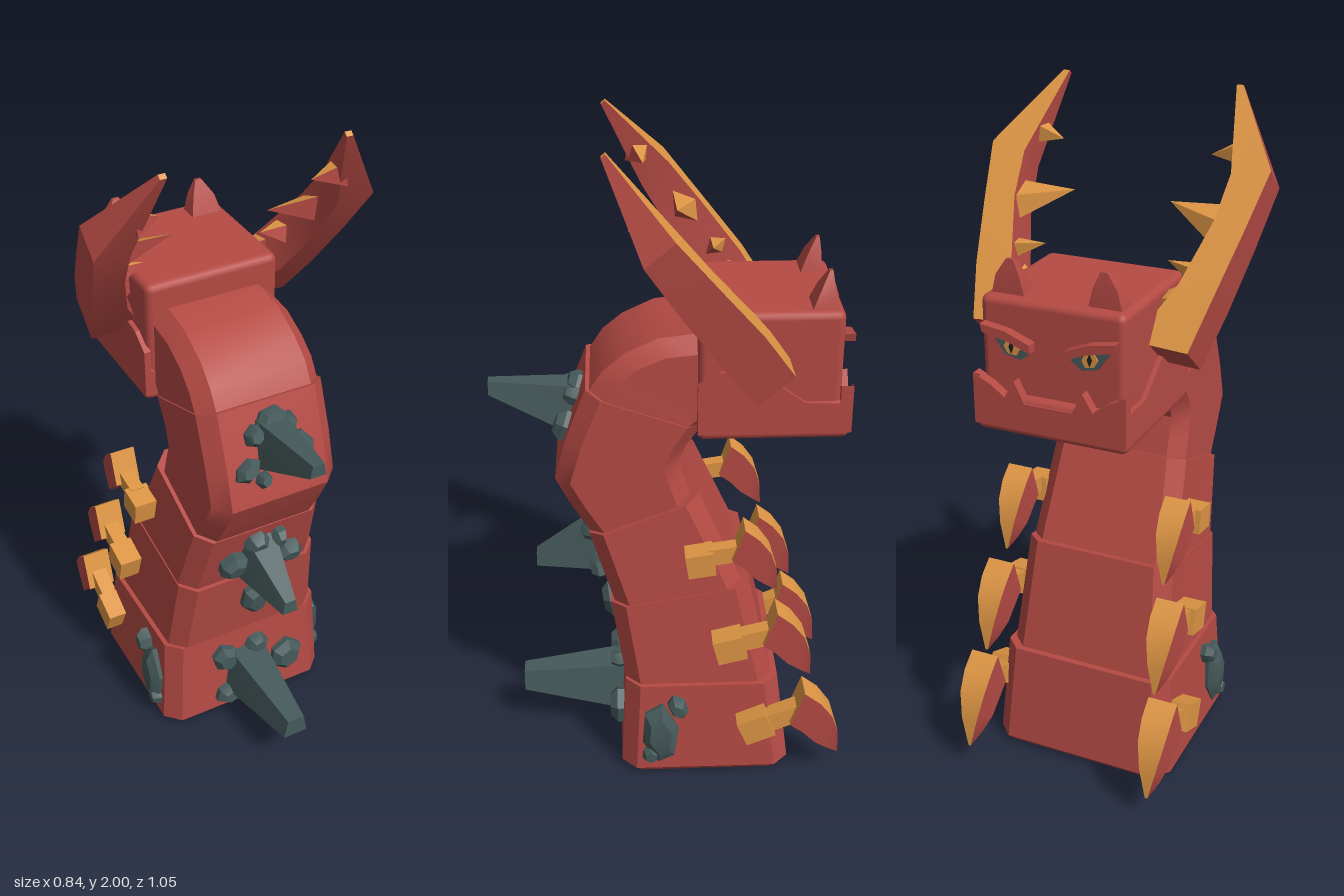
import * as THREE from 'three';
import { toCreasedNormals } from 'three/addons/utils/BufferGeometryUtils.js';
import { RoundedBoxGeometry } from 'three/addons/geometries/RoundedBoxGeometry.js';

const material = (name, color) => {
  const m = new THREE.MeshStandardMaterial({ color });
  m.name = name;
  return m;
};

export function createModel() {
  const red = material('red hide', 0xb54a44);
  const orange = material('orange horn', 0xdd9544);
  const slate = material('slate stone', 0x465a5b);
  const black = material('black pupil', 0x1c2020);
  const model = new THREE.Group();
  model.name = 'hornedSerpent';

  const add = (name, geometry, mat, parent = model) => {
    const mesh = new THREE.Mesh(geometry, mat);
    mesh.name = name;
    parent.add(mesh);
    return mesh;
  };

  // Closed solid through rings of [x, y, z]; sideMats colours each side, then both caps
  function loft(name, rings, mat, parent, sideMats) {
    const n = rings[0].length;
    const tris = [];
    const mats = sideMats ? [...new Set(sideMats)] : [mat];
    const put = (m, a, b, c) => tris.push({ m: mats.indexOf(m), p: [a, b, c] });
    for (let i = 0; i < n; i++) {
      const j = (i + 1) % n;
      const m = sideMats ? sideMats[i] : mat;
      for (let k = 0; k + 1 < rings.length; k++) {
        const lo = rings[k], hi = rings[k + 1];
        put(m, lo[i], lo[j], hi[j]);
        put(m, lo[i], hi[j], hi[i]);
      }
    }
    [rings[0], rings[rings.length - 1]].forEach((r, e) => {
      const m = sideMats ? sideMats[n + e] : mat;
      for (let i = 1; i + 1 < n; i++) e ? put(m, r[0], r[i], r[i + 1]) : put(m, r[0], r[i + 1], r[i]);
    });
    // Turn every face outwards
    const o = new THREE.Vector3(...rings[0][0]);
    let volume = 0;
    for (const t of tris) {
      const [a, b, c] = t.p.map((q) => new THREE.Vector3(...q).sub(o));
      volume += a.dot(b.cross(c));
    }
    if (volume < 0) tris.forEach((t) => t.p.reverse());
    tris.sort((a, b) => a.m - b.m);
    let geo = new THREE.BufferGeometry();
    geo.setAttribute('position', new THREE.Float32BufferAttribute(tris.flatMap((t) => t.p.flat()), 3));
    geo = toCreasedNormals(geo, 0.6);
    mats.forEach((_, i) => {
      const start = tris.findIndex((t) => t.m === i);
      if (start >= 0) geo.addGroup(start * 3, tris.filter((t) => t.m === i).length * 3, i);
    });
    return add(name, geo, sideMats ? mats : mat, parent);
  }

  const plate = (name, pts, depth, mat, parent) => add(name, new THREE.ExtrudeGeometry(
    new THREE.Shape(pts.map((p) => new THREE.Vector2(...p))), { depth, bevelEnabled: false }), mat, parent);

  // Body ring: chamfered rectangle between a back edge and a front edge in the z-y plane
  function bodyRing([bz, by, fz, fy, w]) {
    const c = 0.045, len = Math.hypot(fz - bz, fy - by), t = c / len;
    const at = (x, u) => [x, by + (fy - by) * u, bz + (fz - bz) * u];
    return [at(w - c, 0), at(w, t), at(w, 1 - t), at(w - c, 1),
      at(c - w, 1), at(-w, 1 - t), at(-w, t), at(c - w, 0)];
  }
  const body = {
    baseSegment: [[0.135, 0, -0.36, 0, 0.275], [0.15, 0.02, -0.377, 0.02, 0.29], [0.135, 0.33, -0.337, 0.33, 0.272]],
    lowerSegment: [[0.13, 0.3, -0.325, 0.3, 0.26], [0.175, 0.597, -0.242, 0.67, 0.236]],
    upperSegment: [[0.155, 0.57, -0.235, 0.63, 0.235], [0.235, 0.83, -0.09, 0.957, 0.212]],
    neck: [[0.22, 0.81, -0.075, 0.92, 0.2], [0.285, 0.92, -0.05, 1.0, 0.2], [0.33, 1.01, -0.03, 1.06, 0.2],
      [0.295, 1.14, -0.05, 1.11, 0.2], [0.235, 1.295, -0.095, 1.175, 0.2]],
    nape: [[0.23, 1.28, -0.09, 1.16, 0.195], [0.185, 1.35, -0.093, 1.165, 0.195], [0.125, 1.4, -0.096, 1.167, 0.193],
      [0.03, 1.445, -0.1, 1.17, 0.192], [-0.1, 1.46, -0.11, 1.17, 0.19]],
  };
  for (const [name, rows] of Object.entries(body)) loft(name, rows.map(bodyRing), red);

  // Head and jaw
  add('head', new RoundedBoxGeometry(0.42, 0.37, 0.405, 2, 0.022), red).position.set(0, 1.355, -0.2825);
  add('lowerJaw', new RoundedBoxGeometry(0.448, 0.115, 0.43, 2, 0.02), red).position.set(0, 1.2175, -0.295);
  const lip = [[0.223, 1.18], [0.223, 1.325], [0.17, 1.3], [0.13, 1.27], [0.1, 1.32], [0.07, 1.26]];
  plate('frontLip', [...lip, ...lip.map(([x, y]) => [-x, y]).reverse()], 0.035, red).position.z = -0.515;
  const cheek = [[0.08, 1.18], [0.08, 1.33], [0.14, 1.37], [0.23, 1.385], [0.38, 1.275], [0.49, 1.27], [0.513, 1.325], [0.513, 1.18]];

  for (const s of [1, -1]) {
    const side = new THREE.Group();
    side.name = s > 0 ? 'leftSide' : 'rightSide';
    model.add(side);

    const jawSide = plate('cheek', cheek, 0.02, red, side);
    jawSide.rotation.y = Math.PI / 2;
    jawSide.position.x = s > 0 ? 0.204 : -0.224;

    // Eyes with heavy brows
    const eyePart = (name, pts, z, depth, mat) => {
      plate(name, pts.map(([x, y]) => [s * x, y]), depth, mat, side).position.z = z;
    };
    eyePart('eye', [[0.055, 1.4], [0.09, 1.375], [0.135, 1.385], [0.175, 1.44], [0.11, 1.43]], -0.491, 0.008, slate);
    eyePart('iris', [[0.09, 1.405], [0.1, 1.387], [0.125, 1.39], [0.137, 1.41], [0.125, 1.43], [0.1, 1.425]], -0.495, 0.005, orange);
    eyePart('pupil', [[0.107, 1.41], [0.114, 1.392], [0.121, 1.41], [0.114, 1.427]], -0.498, 0.004, black);
    eyePart('brow', [[0.05, 1.405], [0.11, 1.43], [0.19, 1.447], [0.195, 1.47], [0.12, 1.458], [0.05, 1.43]], -0.515, 0.035, red);

    // Small bump horns on the crown
    const bump = (y, x0, x1, z0, z1) => [[x0, y, z0], [x1, y, z0], [x1, y, z1], [x0, y, z1]].map(([x, yy, z]) => [s * x, yy, z]);
    loft('crownBump', [bump(1.53, 0.09, 0.19, -0.39, -0.455), bump(1.59, 0.105, 0.175, -0.415, -0.455),
      bump(1.635, 0.125, 0.145, -0.44, -0.45)], red, side);

    // Great horns: x across, u along the slope, d behind the orange face
    const hornPoint = (x, u, d) => [s * x, 1.41 + 0.77 * u - 0.64 * d, -0.33 + 0.64 * u + 0.77 * d];
    const hornRows = [[0.16, 0, 0.32, -0.01, 0.13], [0.25, 0.17, 0.355, 0.15, 0.125], [0.3, 0.36, 0.39, 0.34, 0.11],
      [0.312, 0.5, 0.42, 0.52, 0.09], [0.255, 0.77, 0.275, 0.77, 0.015]];
    loft('greatHorn', hornRows.map(([xi, ui, xo, uo, d], i) => {
      const f = i > 0 && i < 4 ? -0.015 : 0;
      return [hornPoint(xi, ui, f), hornPoint(xo, uo, f), hornPoint(xo, uo, d), hornPoint(xi, ui, d)];
    }), red, side, [orange, red, red, red, red, orange]);

    // Thorns along the inner edge of each horn
    for (const [x, u, half, tipX, tipU] of [[0.23, 0.13, 0.05, 0.15, 0.13], [0.28, 0.22, 0.035, 0.185, 0.25],
      [0.32, 0.36, 0.07, 0.145, 0.42], [0.31, 0.59, 0.04, 0.225, 0.57]]) {
      const ring = (cx, cu, r) => [hornPoint(cx, cu - r, 0.03), hornPoint(cx, cu, -0.01), hornPoint(cx, cu + r, 0.03), hornPoint(cx, cu, 0.08 * r / half)];
      const tip = hornPoint(tipX, tipU, 0.03);
      loft('hornThorn', [ring(x, u, half), [tip, tip, tip, tip]], red, side, [orange, orange, red, red, red, red]);
    }

    // Three claws down each flank
    [[0.295, 0.2, -0.265, 1], [0.276, 0.49, -0.18, 0.95], [0.254, 0.78, -0.09, 0.87]].forEach(([x, y, z, k], i) => {
      const claw = new THREE.Group();
      claw.name = 'claw' + (i + 1);
      claw.position.set(s * x, y, z);
      claw.scale.setScalar(k);
      side.add(claw);
      const tilt = [0.4, 0.25, 0.15][i];
      const base = add('clawBase', new THREE.BoxGeometry(0.085, 0.085, 0.095), orange, claw);
      base.rotation.x = tilt;
      const arm = add('clawArm', new THREE.BoxGeometry(0.05, 0.06, 0.13), orange, claw);
      arm.position.set(0, 0.03, -0.09);
      arm.rotation.x = tilt;
      const rows = [[-0.145, 0.14, -0.105, 0.02, 0.045], [-0.195, 0.1, -0.145, -0.01, 0.045], [-0.235, 0.045, -0.185, -0.055, 0.04],
        [-0.258, -0.03, -0.225, -0.09, 0.026], [-0.265, -0.125, -0.262, -0.125, 0.004]];
      loft('clawBlade', rows.map(([tz, ty, bz, by, w]) => [[-w, ty, tz], [w, ty, tz], [w, by, bz], [-w, by, bz]]),
        red, claw, [orange, red, red, red, orange, red]);
    });

    // Stones on the flanks of the base
    for (const [y, z, w, h, r] of [[0.16, 0.03, 0.12, 0.22, 0.15], [0.26, -0.025, 0.06, 0.08, 0.7], [0.08, 0.06, 0.06, 0.06, 0.3]]) {
      rock(s * 0.27, y, z, w, h, 0.045, r, 0, s * Math.PI / 2, side);
    }
  }

  // Faceted stone whose flat top points along its local +z
  function rock(x, y, z, w, h, d, roll, pitch, yaw, parent) {
    const outline = [[-0.5, -0.1], [-0.2, -0.5], [0.25, -0.42], [0.5, 0.05], [0.2, 0.5], [-0.3, 0.38]];
    const ring = (k, depth) => outline.map(([a, b]) => [a * w * k, b * h * k, depth]);
    const mesh = loft('stone', [ring(0.9, -0.03), ring(1, d * 0.5), ring(0.6, d)], slate, parent);
    mesh.rotation.set(pitch, yaw, roll, 'YXZ');
    mesh.position.set(x, y, z);
  }

  // Dorsal spikes: base and tip as [centre y, z, half width, half height]
  const spikeRing = ([y, z, w, h], lean) => [[-w, y - h, z], [w, y - h, z], [w * 0.7, y + h, z + lean], [-w * 0.7, y + h, z + lean]];
  for (const [a, b, lean] of [
    [[0.17, 0.12, 0.085, 0.08], [0.18, 0.465, 0.04, 0.033], 0],
    [[0.71, 0.18, 0.07, 0.08], [0.645, 0.405, 0.025, 0.022], 0.03],
    [[1.17, 0.25, 0.065, 0.08], [1.24, 0.52, 0.025, 0.02], 0]]) {
    loft('dorsalSpike', [spikeRing(a, lean), spikeRing(b, 0)], slate);
  }

  // Stones around the spikes: x, y, z, width, height, roll, pitch
  for (const [x, y, z, w, h, roll, pitch] of [
    [0.14, 0.16, 0.14, 0.12, 0.12, 0.3, 0], [-0.085, 0.24, 0.135, 0.09, 0.1, 0.6, 0], [-0.075, 0.085, 0.145, 0.1, 0.07, 0.2, 0],
    [0.03, 0.26, 0.135, 0.08, 0.06, 0, 0],
    [0.01, 0.49, 0.155, 0.1, 0.13, 0.2, 0.15],
    [0.105, 0.68, 0.19, 0.1, 0.07, -0.3, 0.3], [-0.09, 0.7, 0.2, 0.1, 0.08, 0.5, 0.3], [-0.02, 0.78, 0.215, 0.08, 0.07, 0, 0.3],
    [0.05, 0.77, 0.215, 0.05, 0.08, -0.3, 0.3],
    [0.08, 1.14, 0.285, 0.08, 0.1, 0.2, -0.35], [-0.095, 1.12, 0.29, 0.09, 0.06, 0.4, -0.35], [-0.06, 1.21, 0.26, 0.07, 0.06, 0.5, -0.35],
    [0.0, 1.24, 0.245, 0.1, 0.07, 0, -0.35], [-0.05, 1.08, 0.3, 0.05, 0.05, 0, -0.35], [0.05, 1.22, 0.255, 0.05, 0.06, 0, -0.35]]) {
    rock(x, y, z, w, h, 0.045, roll, pitch, 0, model);
  }
  return model;
}
